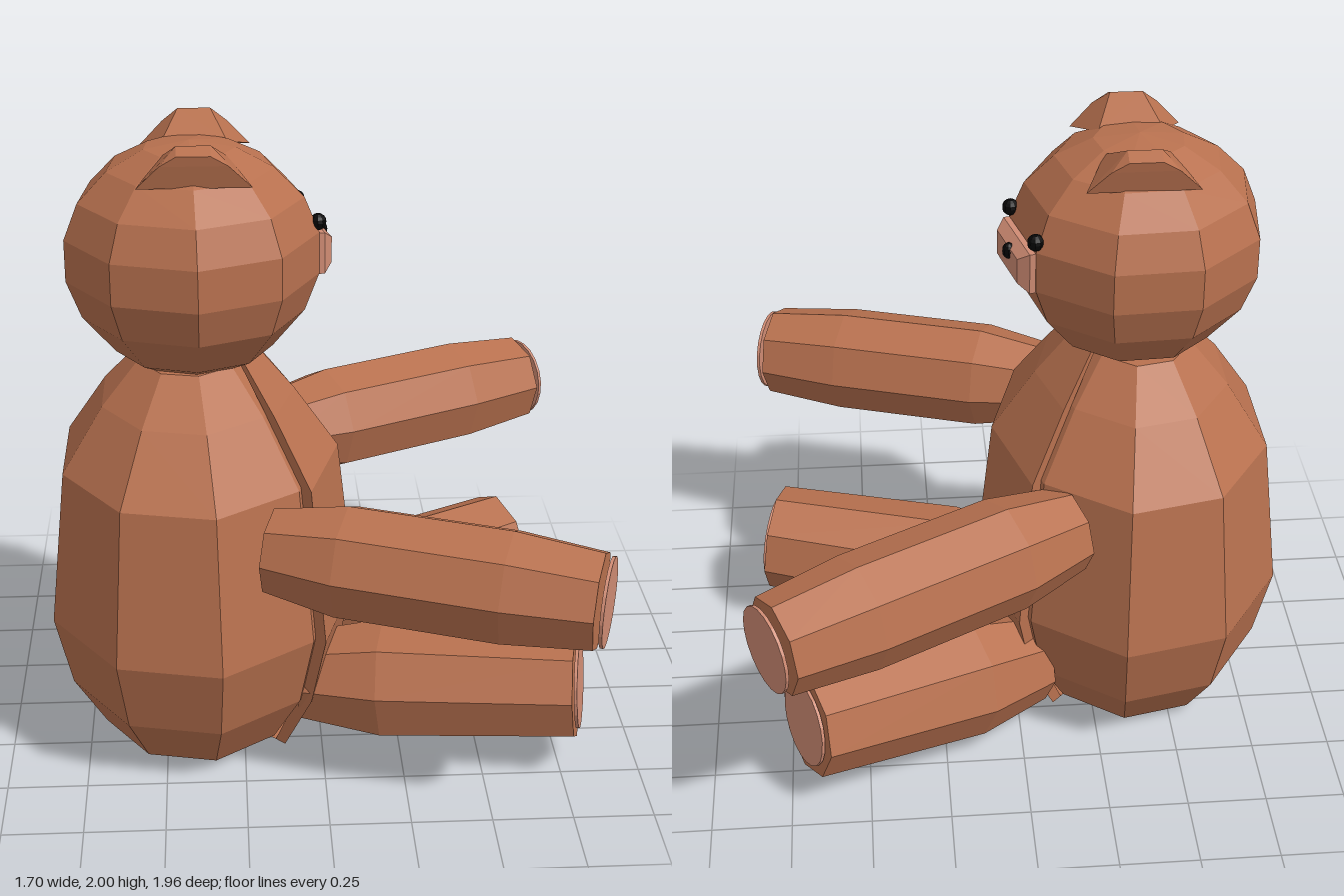
import * as THREE from 'three';
import { ConvexGeometry } from 'three/addons/geometries/ConvexGeometry.js';

const paint = (color) => new THREE.MeshStandardMaterial({ color, flatShading: true });
const V = (x, y, z) => new THREE.Vector3(x, y, z);
const rad = THREE.MathUtils.degToRad;

export function createModel() {
  const bear = new THREE.Group();
  bear.name = 'teddyBear';
  const fur = paint(0xb8714f);
  const padSkin = paint(0xd08c74);
  const black = paint(0x050505);

  const add = (name, geometry, material, parent = bear) => {
    const mesh = new THREE.Mesh(geometry, material);
    mesh.name = name;
    parent.add(mesh);
    return mesh;
  };
  // profile is a list of [radius, y], bottom to top
  const lathe = (profile, sides, phase) =>
    new THREE.LatheGeometry(profile.map(([r, y]) => new THREE.Vector2(r, y)), sides, rad(phase));

  // Body: nine-sided, wider than deep
  const bodyProfile = [[0.32, 0.03], [0.425, 0.21], [0.48, 0.45], [0.425, 0.95], [0.29, 1.15], [0.17, 1.28]];
  const body = add('body', lathe([[0, 0.03], ...bodyProfile, [0, 1.28]], 9, 90), fur);
  body.scale.z = 1.25;
  body.position.set(-0.4, 0, 0.03);

  // Belly panel: a raised shell over the two front facets, with a lip round its edge
  const lip = [[0.9, 40], [1.02, 40], [1.02, 0], [1.02, -40], [0.9, -40]];
  const rings = bodyProfile.map(([r, y], i) => [r, i === 0 ? 0 : i === 5 ? 1.3 : y]);
  rings.unshift([0.22, 0]);
  rings.push([0.1, 1.3]);
  const position = [];
  const index = [];
  rings.forEach(([r, y], i) => {
    lip.forEach(([s, a], j) => {
      position.push(-0.37 + r * s * Math.cos(rad(a)), y, 0.03 + r * s * 1.25 * Math.sin(rad(a)));
      if (i && j) {
        const d = i * 5 + j - 1;
        index.push(d - 5, d - 4, d + 1, d - 5, d + 1, d);
      }
    });
  });
  const panel = new THREE.BufferGeometry();
  panel.setAttribute('position', new THREE.Float32BufferAttribute(position, 3));
  panel.setIndex(index);
  panel.computeVertexNormals();
  const panelFur = fur.clone();
  panelFur.side = THREE.DoubleSide;
  add('bellyPanel', panel, panelFur);

  // Head: nine-sided ball turned slightly to one side
  const headProfile = [[0, 1.27], [0.165, 1.27], [0.245, 1.31], [0.345, 1.43], [0.39, 1.55], [0.39, 1.68],
    [0.345, 1.79], [0.255, 1.88], [0.14, 1.94], [0, 1.96]];
  add('head', lathe(headProfile, 9, 83), fur).position.set(-0.385, 0, 0.04);

  // Ears: blunt wedges leaning outward
  for (const side of [1, -1]) {
    const corners = [];
    for (const x of [-1, 1]) {
      corners.push(V(x * 0.17, 1.88, side * 0.235), V(x * 0.1, 1.93, side * 0.08),
        V(x * 0.1, 1.95, side * 0.25), V(x * 0.05, 2.0, side * 0.21), V(x * 0.05, 1.98, side * 0.255));
    }
    add(side > 0 ? 'leftEar' : 'rightEar', new ConvexGeometry(corners), fur).position.set(-0.37, 0, 0.04);
  }

  // Face: local +x points straight out of the face
  const face = new THREE.Group();
  face.name = 'face';
  face.position.set(-0.385, 0, 0.04);
  face.rotation.y = rad(13);
  bear.add(face);
  const muzzle = [];
  for (const y of [-1, 1]) {
    for (const z of [-1, 1]) {
      muzzle.push(V(0.35, 1.61 + y * 0.065, z * 0.13), V(0.385, 1.61 + y * 0.065, z * 0.13),
        V(0.415, 1.61 + y * 0.04, z * 0.1));
    }
  }
  add('muzzle', new ConvexGeometry(muzzle), padSkin, face);
  const bead = new THREE.SphereGeometry(0.026, 10, 8);
  for (const side of [1, -1]) {
    add(side > 0 ? 'leftEye' : 'rightEye', bead, black, face).position.set(0.365, 1.71, side * 0.123);
  }
  const nose = add('nose', bead, black, face);
  nose.position.set(0.415, 1.638, -0.015);
  nose.scale.set(0.75, 1, 0.75);

  // Limbs: eight-sided tapered prisms, each ending in a round pad
  const limb = (name, start, end, radii, padRadius, gap) => {
    const group = new THREE.Group();
    group.name = name;
    const axis = end.clone().sub(start);
    const length = axis.length();
    group.position.copy(start);
    group.quaternion.setFromUnitVectors(V(0, 1, 0), axis.normalize());
    const profile = radii.map(([r, t]) => [r, t * length]);
    add(name + 'Limb', lathe([[0, 0], ...profile, [0, length]], 8, 22.5), fur, group);
    add(name + 'Pad', new THREE.CylinderGeometry(padRadius, padRadius, 0.01, 20), padSkin, group)
      .position.y = length + gap;
    bear.add(group);
  };
  const armRadii = [[0.135, 0], [0.178, 0.23], [0.178, 0.73], [0.152, 1]];
  const legRadii = [[0.15, 0], [0.2, 0.3], [0.178, 1]];
  limb('leftArm', V(-0.16, 0.82, 0.5), V(0.775, 0.8, 0.83), armRadii, 0.135, 0.02);
  limb('rightArm', V(-0.15, 0.82, -0.37), V(0.755, 0.8, -0.85), armRadii, 0.135, 0.025);
  limb('leftLeg', V(-0.05, 0.21, 0.21), V(0.8, 0.275, 0.42), legRadii, 0.14, 0.008);
  limb('rightLeg', V(-0.05, 0.21, -0.23), V(0.69, 0.275, -0.58), legRadii, 0.14, 0.008);

  return bear;
}
